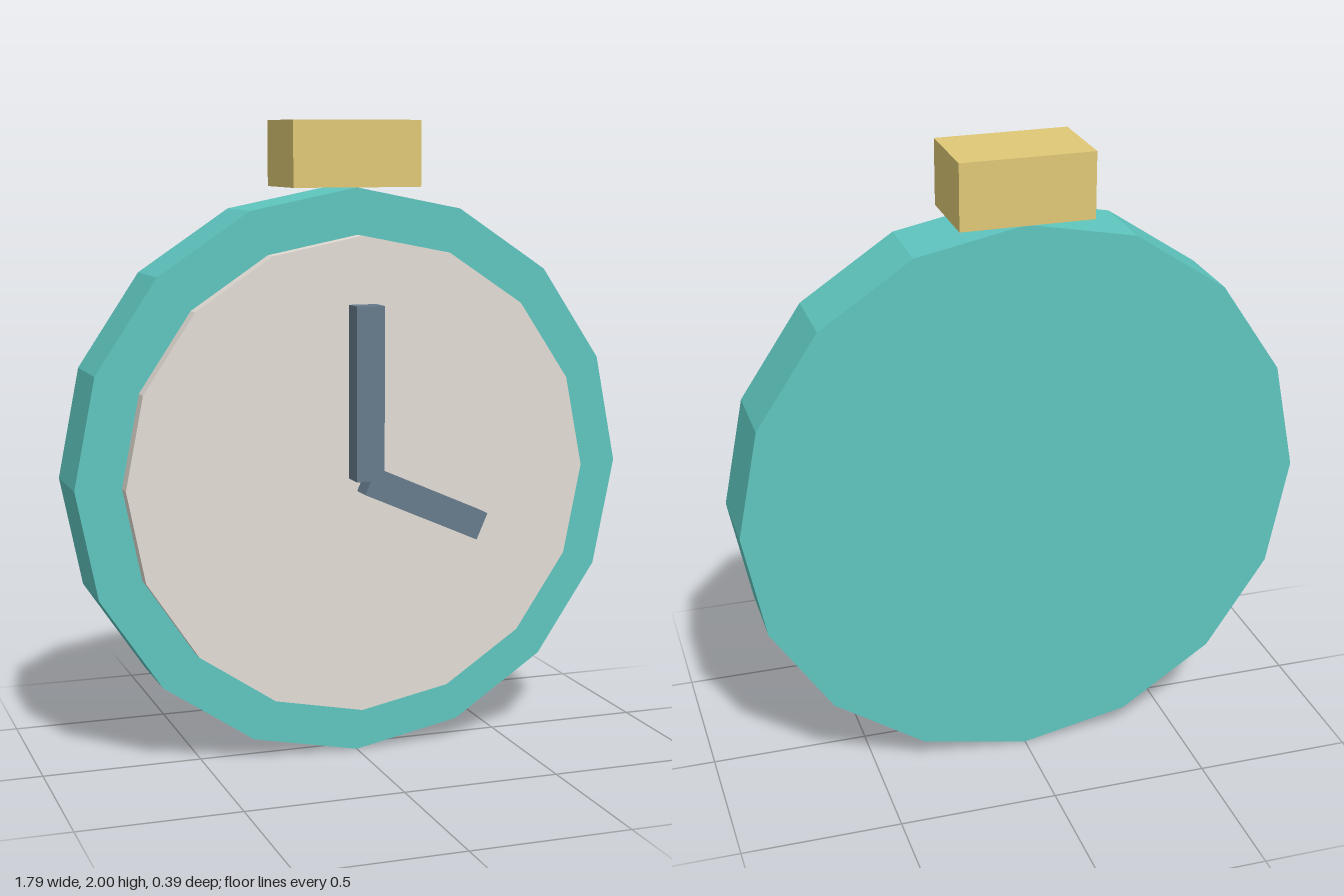
import * as THREE from 'three';

const CENTRE_Y = 0.9;
const SIDES = 16;

function material(color) {
  return new THREE.MeshStandardMaterial({ color, flatShading: true });
}

// Faceted disc facing +z, spanning zBack to zFront, with a corner at the top
function disc(name, radius, zBack, zFront, mat) {
  const geometry = new THREE.CylinderGeometry(radius, radius, zFront - zBack, SIDES);
  geometry.rotateX(Math.PI / 2);
  const mesh = new THREE.Mesh(geometry, mat);
  mesh.name = name;
  mesh.position.set(0, CENTRE_Y, (zBack + zFront) / 2);
  return mesh;
}

// Bar starting at the dial centre, turned clockwise from twelve o'clock
function hand(name, length, degrees, mat) {
  const geometry = new THREE.BoxGeometry(0.09, length, 0.075);
  geometry.translate(0, length / 2, 0);
  const mesh = new THREE.Mesh(geometry, mat);
  mesh.name = name;
  mesh.position.set(0, CENTRE_Y, 0.158);
  mesh.rotation.z = -THREE.MathUtils.degToRad(degrees);
  return mesh;
}

export function createModel() {
  const clock = new THREE.Group();
  clock.name = 'pocketWatch';
  const handMaterial = material(0x667a8c);

  // Case and raised dial
  clock.add(disc('case', 0.895, -0.185, 0.066, material(0x5fc6c0)));
  clock.add(disc('dial', 0.75, 0.066, 0.12, material(0xe2dcd4)));

  // Hands
  clock.add(hand('minuteHand', 0.54, 0, handMaterial));
  clock.add(hand('hourHand', 0.408, 113.9, handMaterial));

  // Crown block on top of the case
  const crown = new THREE.Mesh(new THREE.BoxGeometry(0.415, 0.205, 0.27), material(0xdfc876));
  crown.name = 'crown';
  crown.position.set(0, 1.8975, -0.06);
  clock.add(crown);

  return clock;
}
